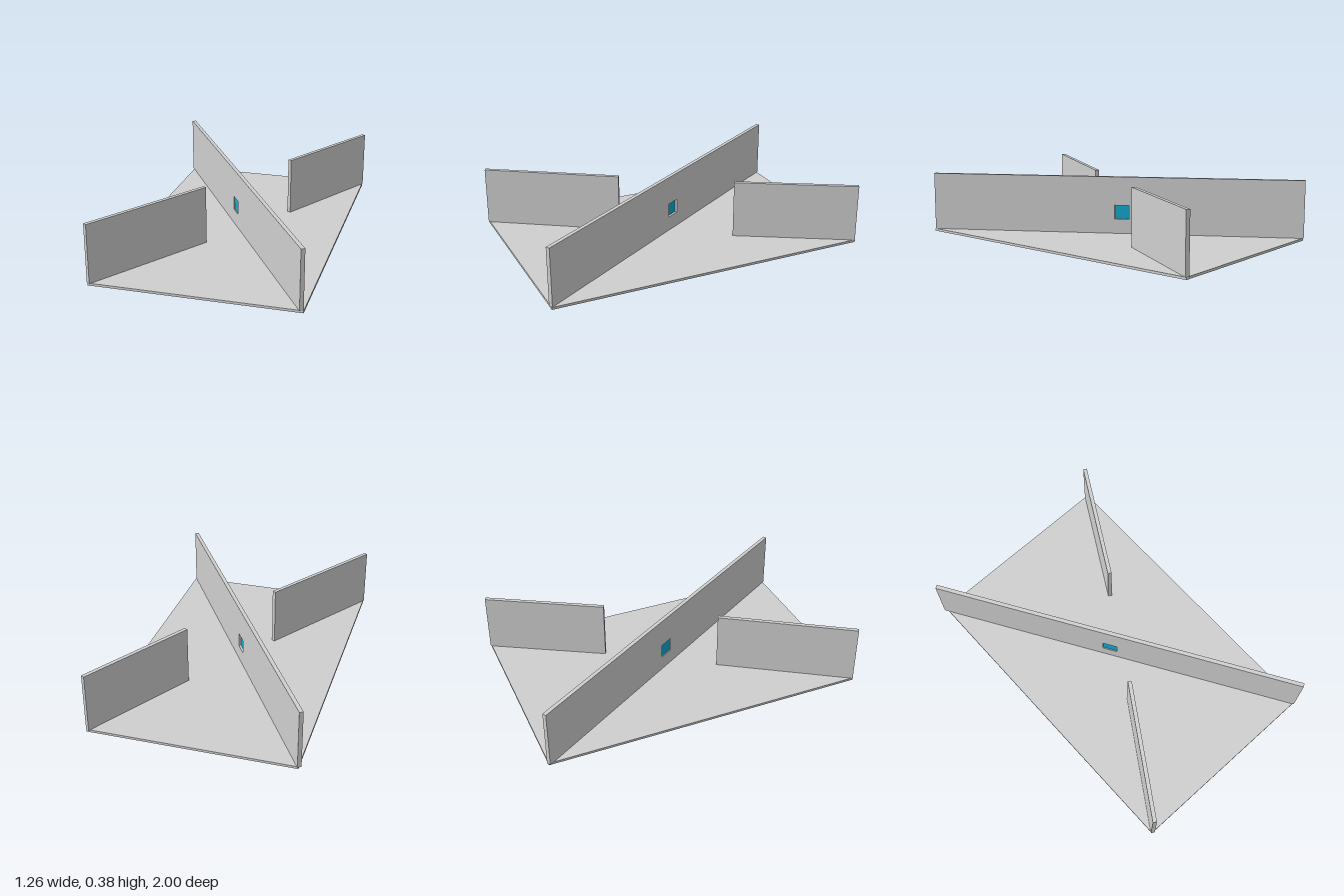
import * as THREE from 'three';

const FLOOR = 0.015, TOP = 0.375, THICK = 0.024;

export function createModel() {
  const model = new THREE.Group();
  const grey = new THREE.MeshStandardMaterial({ color: 0xcfcfcf });
  grey.name = 'light grey';
  const teal = new THREE.MeshStandardMaterial({ color: 0x10a9cf });
  teal.name = 'teal blue';

  // Floor slab
  const floor = new THREE.Mesh(new THREE.BoxGeometry(1.238, FLOOR, 1.982), grey);
  floor.name = 'floor';
  floor.position.set(0.004, FLOOR / 2, 0);
  model.add(floor);

  // Upright wall between two floor points, with an optional rectangular opening
  function addWall(name, [x1, z1], [x2, z2], hole) {
    const dx = x2 - x1, dz = z2 - z1, half = Math.hypot(dx, dz) / 2;
    const shape = new THREE.Shape([
      new THREE.Vector2(-half, FLOOR), new THREE.Vector2(half, FLOOR),
      new THREE.Vector2(half, TOP), new THREE.Vector2(-half, TOP),
    ]);
    if (hole) {
      const { s, y, w, h } = hole;
      shape.holes.push(new THREE.Path([
        new THREE.Vector2(s - w / 2, y - h / 2), new THREE.Vector2(s - w / 2, y + h / 2),
        new THREE.Vector2(s + w / 2, y + h / 2), new THREE.Vector2(s + w / 2, y - h / 2),
      ]));
    }
    const geometry = new THREE.ExtrudeGeometry(shape, { depth: THICK, bevelEnabled: false });
    geometry.translate(0, 0, -THICK / 2);
    const group = new THREE.Group();
    group.name = name;
    const wall = new THREE.Mesh(geometry, grey);
    wall.name = name + 'Panel';
    group.add(wall);
    group.position.set((x1 + x2) / 2, 0, (z1 + z2) / 2);
    group.rotation.y = Math.atan2(-dz, dx);
    model.add(group);
    return group;
  }

  // Diagonal wall with its small window, and the two short side walls
  const opening = { s: -0.041, y: 0.151, w: 0.092, h: 0.088 };
  const diagonal = addWall('diagonalWall', [-0.621, -0.993], [0.612, 0.993], opening);
  addWall('frontSideWall', [-0.61, 0.993], [-0.146, 0.272]);
  addWall('backSideWall', [0.617, -0.993], [0.24, -0.335]);

  // Thin pane filling the window
  const pane = new THREE.Mesh(new THREE.BoxGeometry(opening.w, opening.h, 0.004), teal);
  pane.name = 'windowPane';
  pane.position.set(opening.s, opening.y, 0.004);
  diagonal.add(pane);

  return model;
}
